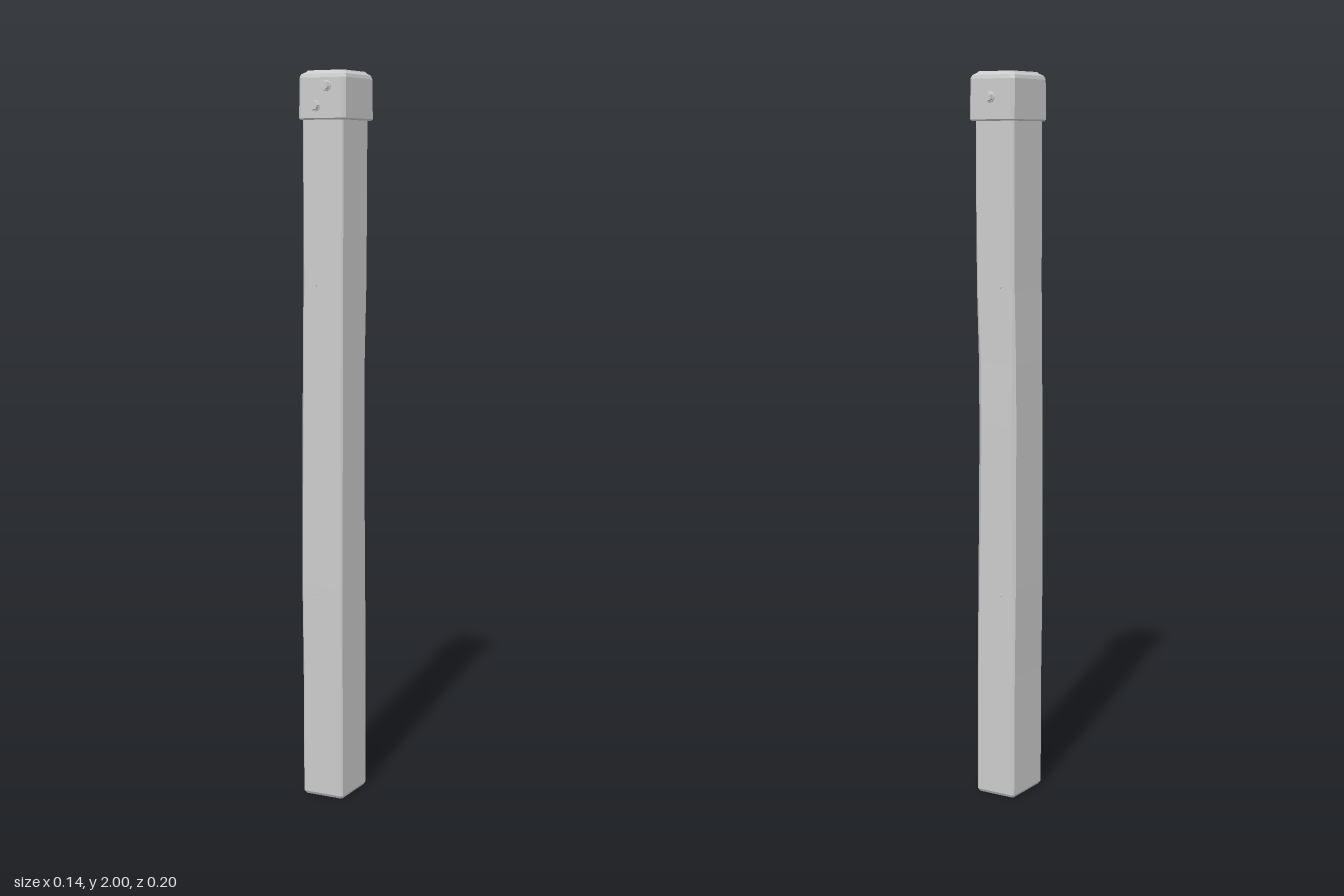
import * as THREE from 'three';

const material = new THREE.MeshStandardMaterial({ color: 0xcccccc, flatShading: true });

// Closed loft through chamfered rectangles.
// Level: [y, x0, x1, z0, z1, chamfers at (+x+z), (+x-z), (-x-z), (-x+z)]
function loft(levels) {
  const pos = [], index = [], n = 8;
  for (const [y, x0, x1, z0, z1, a, b, c, d] of levels) {
    const ring = [
      [x1 - a, z1], [x1, z1 - a], [x1, z0 + b], [x1 - b, z0],
      [x0 + c, z0], [x0, z0 + c], [x0, z1 - d], [x0 + d, z1],
    ];
    for (const [x, z] of ring) pos.push(x, y, z);
  }
  const top = (levels.length - 1) * n;
  for (let l = 0; l < top; l += n) {
    for (let i = 0; i < n; i++) {
      const j = (i + 1) % n;
      index.push(l + i, l + j, l + n + j, l + i, l + n + j, l + n + i);
    }
  }
  for (let i = 1; i < n - 1; i++) {
    index.push(0, i + 1, i, top, top + i, top + i + 1);
  }
  const g = new THREE.BufferGeometry();
  g.setAttribute('position', new THREE.Float32BufferAttribute(pos, 3));
  g.setIndex(index);
  const flat = g.toNonIndexed();
  flat.computeVertexNormals();
  return flat;
}

function add(parent, name, geometry) {
  const mesh = new THREE.Mesh(geometry, material);
  mesh.name = name;
  parent.add(mesh);
  return mesh;
}

// Round or hexagonal stud whose axis points along z
function stud(radius, depth, sides, bevel = 0.85) {
  return new THREE.CylinderGeometry(radius * bevel, radius, depth, sides).rotateX(Math.PI / 2);
}

// Hex bolt on a washer; side is +1 for front, -1 for back
function bolt(x, y, z, side) {
  const group = new THREE.Group();
  group.name = 'bolt';
  add(group, 'washer', stud(0.0155, 0.004, 14)).position.z = 0.001;
  const head = add(group, 'boltHead', stud(0.0125, 0.011, 6, 0.92));
  head.position.z = 0.0075;
  head.rotation.z = x * 20;
  group.position.set(x, y, z);
  if (side < 0) group.rotation.y = Math.PI;
  return group;
}

export function createModel() {
  const model = new THREE.Group();
  model.name = 'post';

  // Timber with corners worn unevenly along its length
  add(model, 'timber', loft([
    [0.000, -0.059, 0.054, -0.070, 0.072, 0.004, 0.004, 0.004, 0.004],
    [0.008, -0.064, 0.058, -0.075, 0.077, 0.004, 0.005, 0.004, 0.004],
    [0.35, -0.065, 0.058, -0.075, 0.078, 0.004, 0.007, 0.005, 0.005],
    [0.60, -0.067, 0.058, -0.075, 0.079, 0.004, 0.011, 0.007, 0.004],
    [0.85, -0.067, 0.058, -0.076, 0.079, 0.004, 0.017, 0.009, 0.005],
    [1.05, -0.067, 0.058, -0.076, 0.079, 0.005, 0.019, 0.010, 0.007],
    [1.22, -0.066, 0.058, -0.074, 0.079, 0.005, 0.016, 0.008, 0.008],
    [1.42, -0.064, 0.058, -0.075, 0.077, 0.004, 0.008, 0.005, 0.006],
    [1.65, -0.064, 0.058, -0.075, 0.076, 0.004, 0.005, 0.004, 0.006],
    [1.90, -0.063, 0.058, -0.075, 0.076, 0.004, 0.004, 0.004, 0.004],
  ]));

  // Metal cap with rounded rim and a slightly raised top
  const c = (r) => [r, r, r, r];
  add(model, 'cap', loft([
    [1.870, -0.067, 0.065, -0.086, 0.083, ...c(0.006)],
    [1.874, -0.071, 0.069, -0.090, 0.087, ...c(0.008)],
    [1.980, -0.071, 0.068, -0.090, 0.086, ...c(0.009)],
    [1.990, -0.068, 0.065, -0.087, 0.083, ...c(0.010)],
    [1.996, -0.060, 0.057, -0.074, 0.067, ...c(0.008)],
    [2.000, -0.057, 0.054, -0.071, 0.064, ...c(0.007)],
  ]));

  // Bolts through the cap
  model.add(bolt(0.014, 1.958, 0.086, 1));
  model.add(bolt(-0.018, 1.906, 0.086, 1));
  model.add(bolt(0.001, 1.932, -0.09, -1));

  // Small nails on front and back of the timber
  for (const y of [0.58, 1.43]) {
    for (const z of [0.078, -0.076]) {
      const nail = add(model, 'nail', stud(0.0035, 0.006, 8));
      nail.position.set(-0.022, y, z);
      if (z < 0) nail.rotation.y = Math.PI;
    }
  }
  return model;
}
